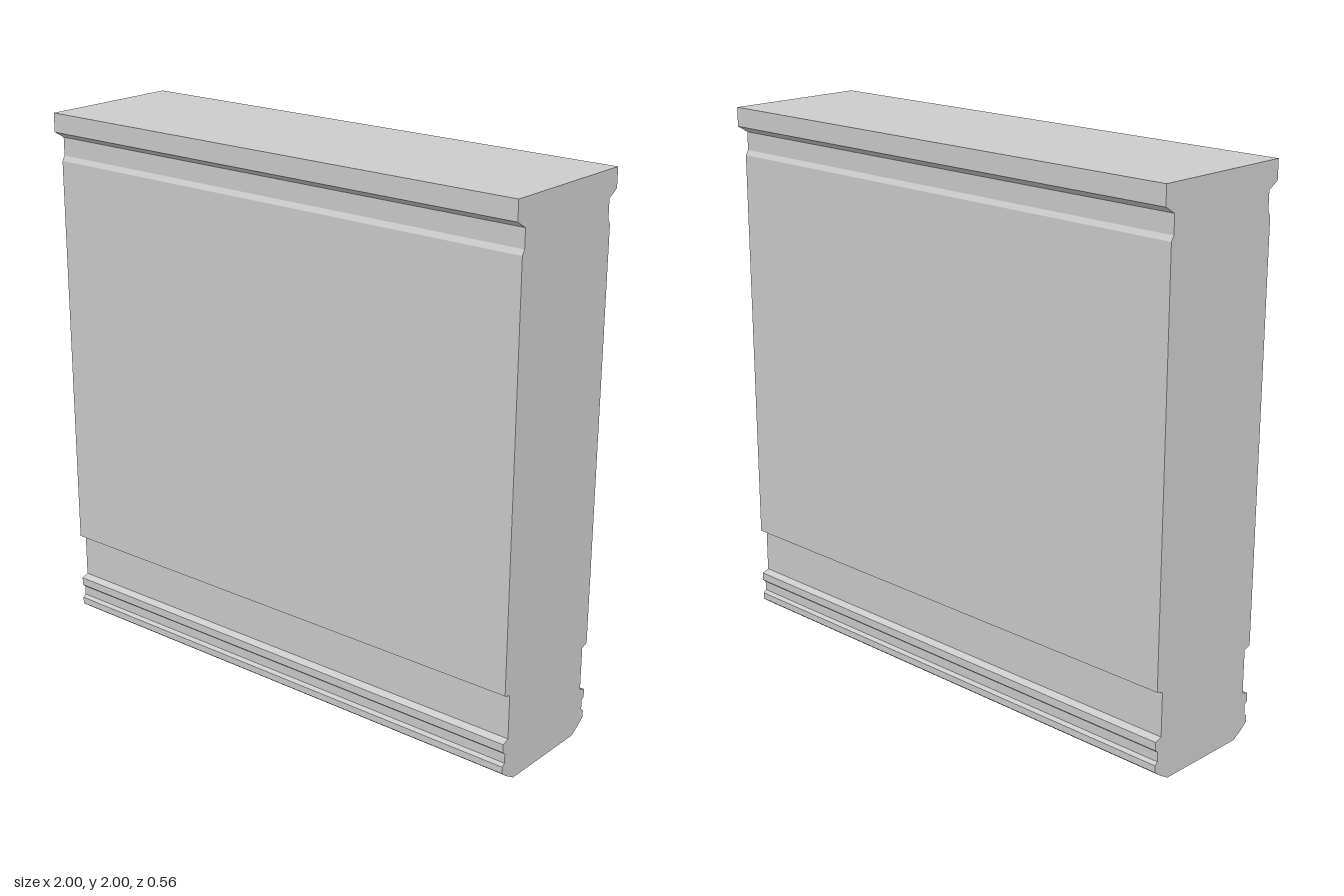
import * as THREE from 'three';

// Half of the wall's moulded cross-section, from base to top: [depth, height]
const PROFILE = [
  [0.18, 0], [0.217, 0.022], [0.247, 0.045],                  // eased foot
  [0.247, 0.07], [0.235, 0.08], [0.235, 0.115],               // lower bead and groove
  [0.247, 0.125], [0.247, 0.155], [0.22, 0.165],              // upper bead
  [0.22, 0.325], [0.247, 0.335],                              // recessed plinth band
  [0.247, 1.82], [0.236, 1.838],                              // main wall face
  [0.236, 1.905], [0.278, 1.93], [0.278, 2],                  // neck and coping
];

export function createModel() {
  const group = new THREE.Group();
  group.name = 'mouldedWall';

  // Mirror the profile to get the closed section, then run it along x
  const front = PROFILE.map(([z, y]) => new THREE.Vector2(z, y));
  const back = PROFILE.map(([z, y]) => new THREE.Vector2(-z, y)).reverse();
  const section = new THREE.Shape([...front, ...back]);
  const geometry = new THREE.ExtrudeGeometry(section, { depth: 2, bevelEnabled: false });
  geometry.translate(0, 0, -1);
  geometry.rotateY(-Math.PI / 2);

  const wall = new THREE.Mesh(geometry, new THREE.MeshStandardMaterial({ color: 0xcccccc }));
  wall.name = 'wall';
  group.add(wall);
  return group;
}
